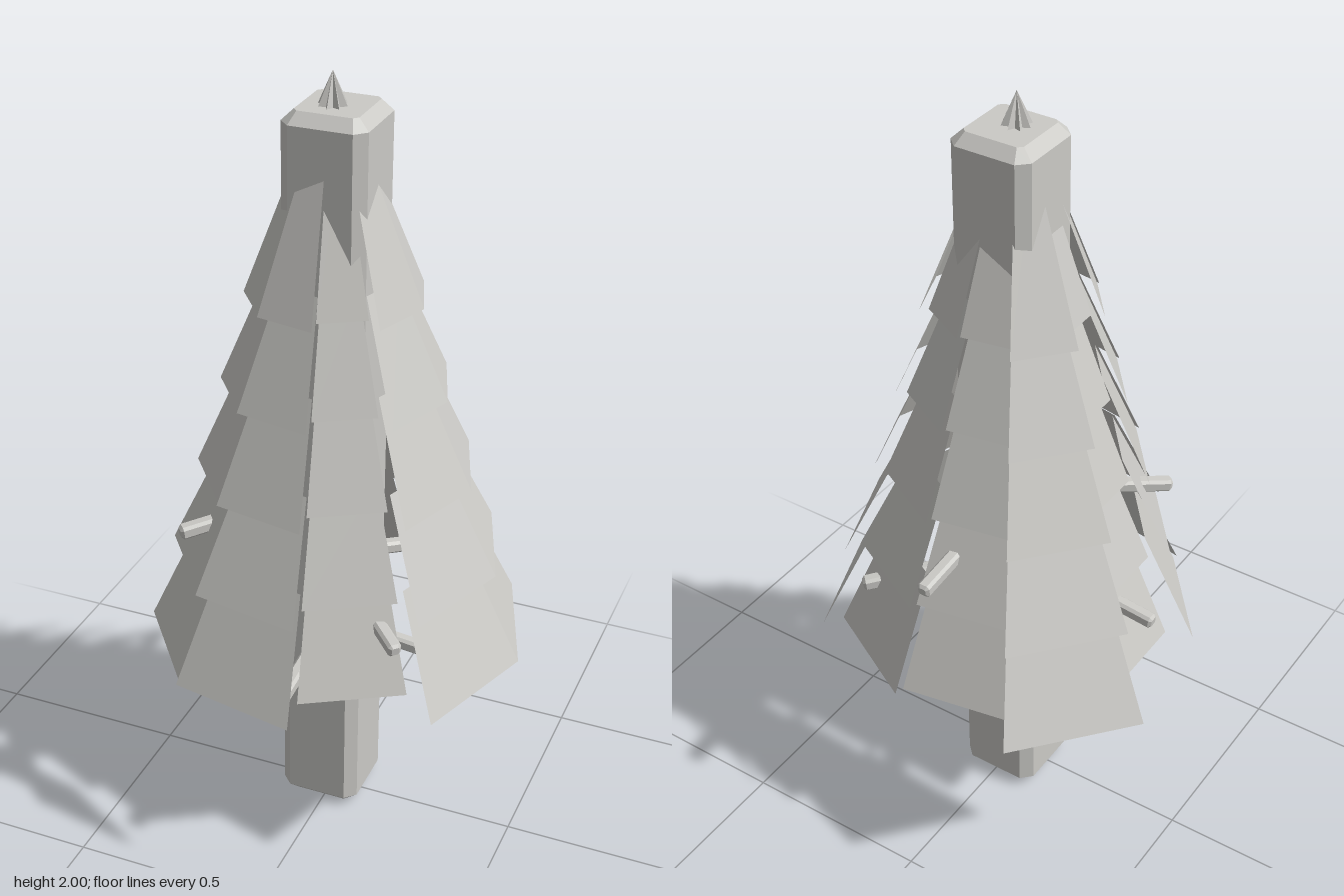
import * as THREE from 'three';

const bark = new THREE.MeshStandardMaterial({ color: 0xcbcac6, flatShading: true, side: THREE.DoubleSide });
bark.name = 'paleGrey';

// Square bar with chamfered edges, running along +z from 0 to length
function chamferedBar(width, length, c) {
  const h = width / 2, k = h - c;
  const shape = new THREE.Shape([[h, -k], [h, k], [k, h], [-k, h], [-h, k], [-h, -k], [-k, -h], [k, -h]]
    .map(([x, y]) => new THREE.Vector2(x, y)));
  const geo = new THREE.ExtrudeGeometry(shape, {
    depth: length - 2 * c, bevelEnabled: true, bevelSegments: 1, bevelSize: c, bevelThickness: c, bevelOffset: -c,
  });
  return geo.translate(0, 0, c);
}

// Bottom corners [x0, z0, x1, z1] of each hanging panel, clockwise from above
const panels = [
  [-0.5, -0.195, -0.27, -0.465],
  [-0.23, -0.367, 0.06, -0.42],
  [0.065, -0.445, 0.345, -0.292],
  [0.375, -0.34, 0.495, -0.015],
  [0.495, -0.015, 0.38, 0.31],
  [0.285, 0.222, 0.052, 0.358],
  [0.07, 0.46, -0.255, 0.4],
  [-0.25, 0.39, -0.45, 0.14],
  [-0.38, 0.12, -0.38, -0.16],
];

// Tiers: bottom height, bottom scale, top height, top scale
const tiers = [
  [0.53, 1, 0.83, 0.705],
  [0.77, 0.86, 1.06, 0.565],
  [1.0, 0.715, 1.29, 0.445],
  [1.23, 0.58, 1.52, 0.32],
  [1.46, 0.45, 1.87, 0.12],
];

function tierGeometry([yb, sb, yt, st]) {
  const pos = [];
  for (const [x0, z0, x1, z1] of panels) {
    const b0 = [x0 * sb, yb, z0 * sb], b1 = [x1 * sb, yb, z1 * sb];
    const t0 = [x0 * st, yt, z0 * st], t1 = [x1 * st, yt, z1 * st];
    pos.push(...b1, ...b0, ...t0, ...b1, ...t0, ...t1);
  }
  const geo = new THREE.BufferGeometry();
  geo.setAttribute('position', new THREE.Float32BufferAttribute(pos, 3));
  geo.computeVertexNormals();
  return geo;
}

// Outer ends of the twigs: three low, four in the middle, two high
const twigs = [
  [0.385, 0.485, -0.012], [-0.012, 0.485, 0.385], [-0.295, 0.485, -0.295],
  [-0.415, 0.685, -0.015], [0.27, 0.685, 0.265], [0.27, 0.685, -0.295],
  [-0.295, 0.885, 0.265], [-0.012, 0.885, -0.42],
];

export function createModel() {
  const group = new THREE.Group();
  const add = (name, geo) => {
    const mesh = new THREE.Mesh(geo, bark);
    mesh.name = name;
    group.add(mesh);
    return mesh;
  };

  // Trunk, leaning very slightly sideways
  const trunkGeo = chamferedBar(0.21, 1.92, 0.027).rotateX(-Math.PI / 2);
  const p = trunkGeo.attributes.position;
  for (let i = 0; i < p.count; i++) p.setX(i, p.getX(i) - 0.012 + 0.0085 * p.getY(i));
  trunkGeo.computeVertexNormals();
  add('trunk', trunkGeo).position.z = -0.015;

  // Overlapping tiers of foliage
  tiers.forEach((t, i) => add('foliageTier' + (i + 1), tierGeometry(t)));

  // Twigs sloping gently down and out of the trunk
  for (const [x, y, z] of twigs) {
    const end = new THREE.Vector3(x, y, z);
    const start = new THREE.Vector3(-0.01, y + 0.045, -0.012);
    const twig = add('twig', chamferedBar(0.034, start.distanceTo(end), 0.007));
    twig.position.copy(start);
    twig.lookAt(end);
  }

  // Spiky tip: a cone with a star-shaped base
  const tipGeo = new THREE.ConeGeometry(0.038, 0.085, 16, 1);
  const t = tipGeo.attributes.position;
  for (let i = 0; i < t.count; i++) {
    const a = Math.round(Math.atan2(t.getX(i), t.getZ(i)) / (Math.PI / 8));
    const s = Math.abs(a) % 2 ? 0.6 : 1;
    t.setX(i, t.getX(i) * s);
    t.setZ(i, t.getZ(i) * s);
  }
  tipGeo.computeVertexNormals();
  add('tip', tipGeo).position.set(-0.003, 1.9575, -0.003);

  return group;
}
